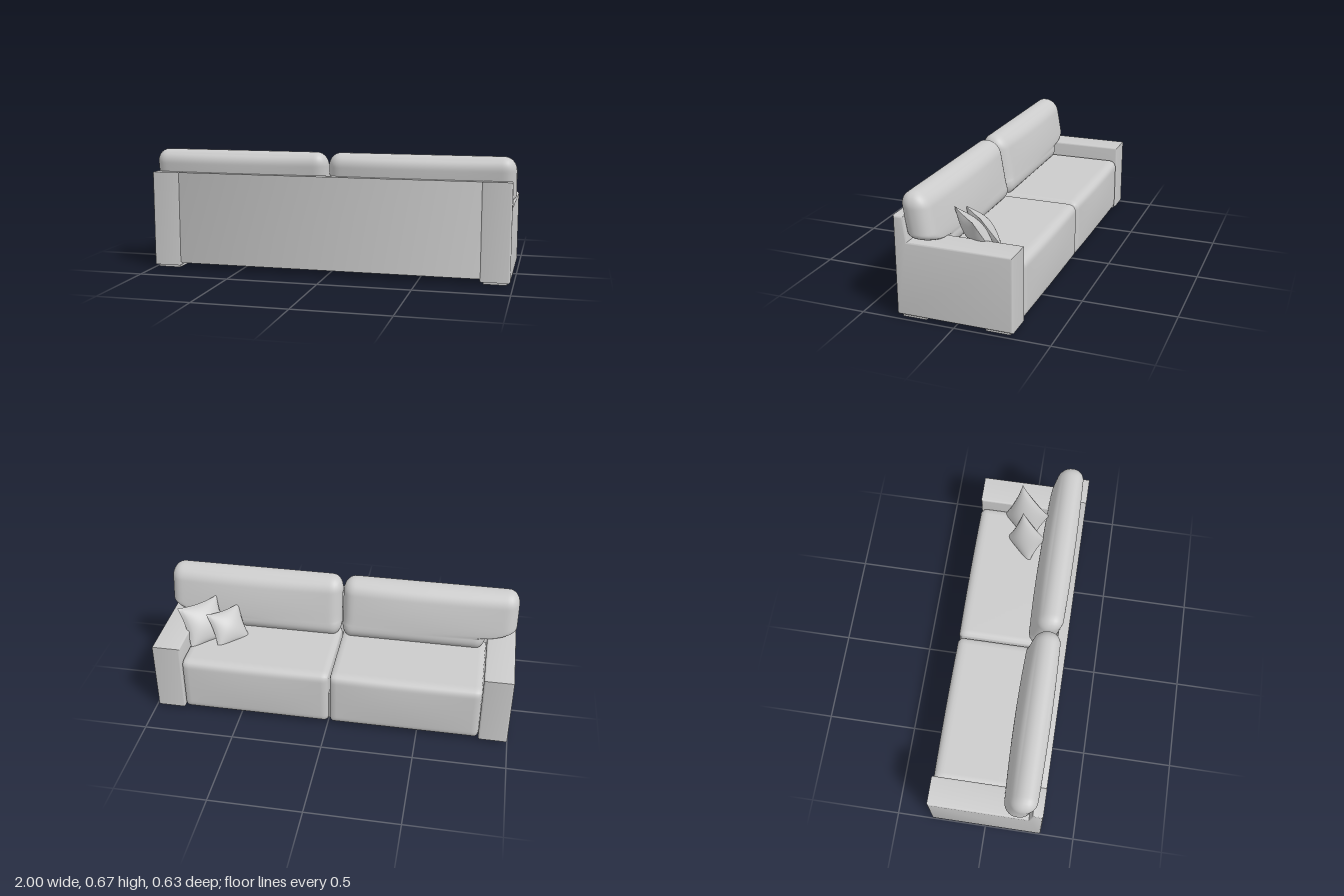
import * as THREE from 'three';
import { mergeGeometries, mergeVertices, toCreasedNormals } from 'three/addons/utils/BufferGeometryUtils.js';

const fabric = new THREE.MeshStandardMaterial({ color: 0xcccccc });
const clamp = THREE.MathUtils.clamp;

function part(parent, name, geometry, x = 0, y = 0, z = 0) {
  const mesh = new THREE.Mesh(geometry, fabric);
  mesh.name = name;
  mesh.position.set(x, y, z);
  parent.add(mesh);
  return mesh;
}

// Move every vertex by a rule, then rebuild smooth normals
function reshape(geometry, rule) {
  const pos = geometry.attributes.position;
  const p = new THREE.Vector3();
  for (let i = 0; i < pos.count; i++) {
    p.fromBufferAttribute(pos, i);
    rule(p);
    pos.setXYZ(i, p.x, p.y, p.z);
  }
  geometry.deleteAttribute('normal');
  geometry.deleteAttribute('uv');
  const merged = mergeVertices(geometry, 1e-5);
  merged.computeVertexNormals();
  return merged;
}

// Stuffed block: elliptical edge rounding plus a bulge on the z faces
function cushion(size, radius, bulge, segments, adjust = () => {}) {
  const half = size.map((s) => s / 2);
  return reshape(new THREE.BoxGeometry(...size, ...segments), (p) => {
    const q = p.toArray();
    const inner = q.map((v, i) => clamp(v, radius[i] - half[i], half[i] - radius[i]));
    const dir = q.map((v, i) => (v - inner[i]) / radius[i]);
    const len = Math.hypot(...dir) || 1;
    const [u, v, w] = q.map((c, i) => c / half[i]);
    p.fromArray(inner.map((c, i) => c + (dir[i] / len) * radius[i]));
    p.z += w * bulge * (1 - u * u) * (1 - v * v);
    adjust(p);
  });
}

// Side profile (z, y) extruded along x with a softened edge
function profile(points, width, bevel) {
  const shape = new THREE.Shape(points.map(([z, y]) => new THREE.Vector2(-z, y)));
  const geometry = new THREE.ExtrudeGeometry(shape, {
    depth: width - 2 * bevel, bevelSize: bevel, bevelThickness: bevel,
    bevelOffset: -bevel, bevelSegments: 4,
  });
  geometry.translate(0, 0, bevel - width / 2).rotateY(Math.PI / 2);
  return toCreasedNormals(geometry, 0.6);
}

// Scatter pillow: two domed faces with pinched corners
function pillow(size, thickness) {
  const face = new THREE.PlaneGeometry(2, 2, 20, 20);
  const back = face.clone().rotateY(Math.PI);
  const faces = [face, back].map((g, i) => reshape(g, (p) => {
    const a = 1 - p.x * p.x, b = 1 - p.y * p.y;
    const dome = Math.pow(Math.max(a * b, 0), 0.6) * thickness / 2;
    p.set(p.x * (1 - 0.1 * b) * size / 2, p.y * (1 - 0.1 * a) * size / 2, i ? -dome : dome);
  }));
  return mergeGeometries(faces);
}

export function createModel() {
  const root = new THREE.Group();
  root.name = 'sofa';
  const body = new THREE.Group();
  body.name = 'body';
  body.position.x = -0.007;
  root.add(body);

  // Arms with the raised rear upright, and their feet
  const armProfile = [[-0.304, 0.016], [-0.304, 0.413], [0.241, 0.413], [0.258, 0.543], [0.313, 0.543], [0.313, 0.016]];
  const armGeometry = profile(armProfile, 0.16, 0.011);
  const footGeometry = new THREE.BoxGeometry(0.125, 0.02, 0.127);
  for (const side of [-1, 1]) {
    const label = side > 0 ? 'left' : 'right';
    part(body, label + 'Arm', armGeometry, side * 0.913);
    for (const z of [-0.222, 0.225]) {
      part(body, label + (z > 0 ? 'Rear' : 'Front') + 'Foot', footGeometry, side * 0.913, 0.01, z);
    }
  }

  // Back panel and underside
  const panel = [[0.23, 0.035], [0.241, 0.413], [0.258, 0.543], [0.312, 0.543], [0.312, 0.035]];
  part(body, 'backPanel', profile(panel, 1.676, 0.003));
  part(body, 'base', new THREE.BoxGeometry(1.67, 0.17, 0.58), 0, 0.115, 0.015);

  // Seat and back cushions, the latter T-shaped so they overhang the arms
  for (const side of [-1, 1]) {
    const label = side > 0 ? 'left' : 'right';
    part(body, label + 'SeatCushion',
      cushion([0.83, 0.322, 0.52], [0.018, 0.04, 0.04], 0.009, [40, 28, 28]),
      side * 0.418, 0.172, -0.044);

    const width = side > 0 ? 1.003 : 0.99;
    const middle = side * (width / 2 + 0.003);
    const geometry = cushion([width, 0.35, 0.144], [0.065, 0.075, 0.068], 0.016, [56, 48, 16], (p) => {
      p.x += middle;
      p.y += 0.491;
      const t = clamp((p.y - 0.405) / 0.055, 0, 1);
      p.x *= THREE.MathUtils.lerp(0.83, 1, Math.sqrt(1 - (1 - t) ** 2));
      p.z += 0.187 + 0.17 * (p.y - 0.5);
    });
    part(body, label + 'BackCushion', geometry);
  }

  // Scatter pillows leaning in one corner
  const large = part(root, 'largePillow', pillow(0.252, 0.1), 0.765, 0.418, -0.025);
  const small = part(root, 'smallPillow', pillow(0.212, 0.085), 0.627, 0.396, -0.008);
  large.rotation.set(0.56, Math.PI / 4, 0, 'YXZ');
  small.rotation.set(0.6, Math.PI / 4, 0, 'YXZ');
  return root;
}
